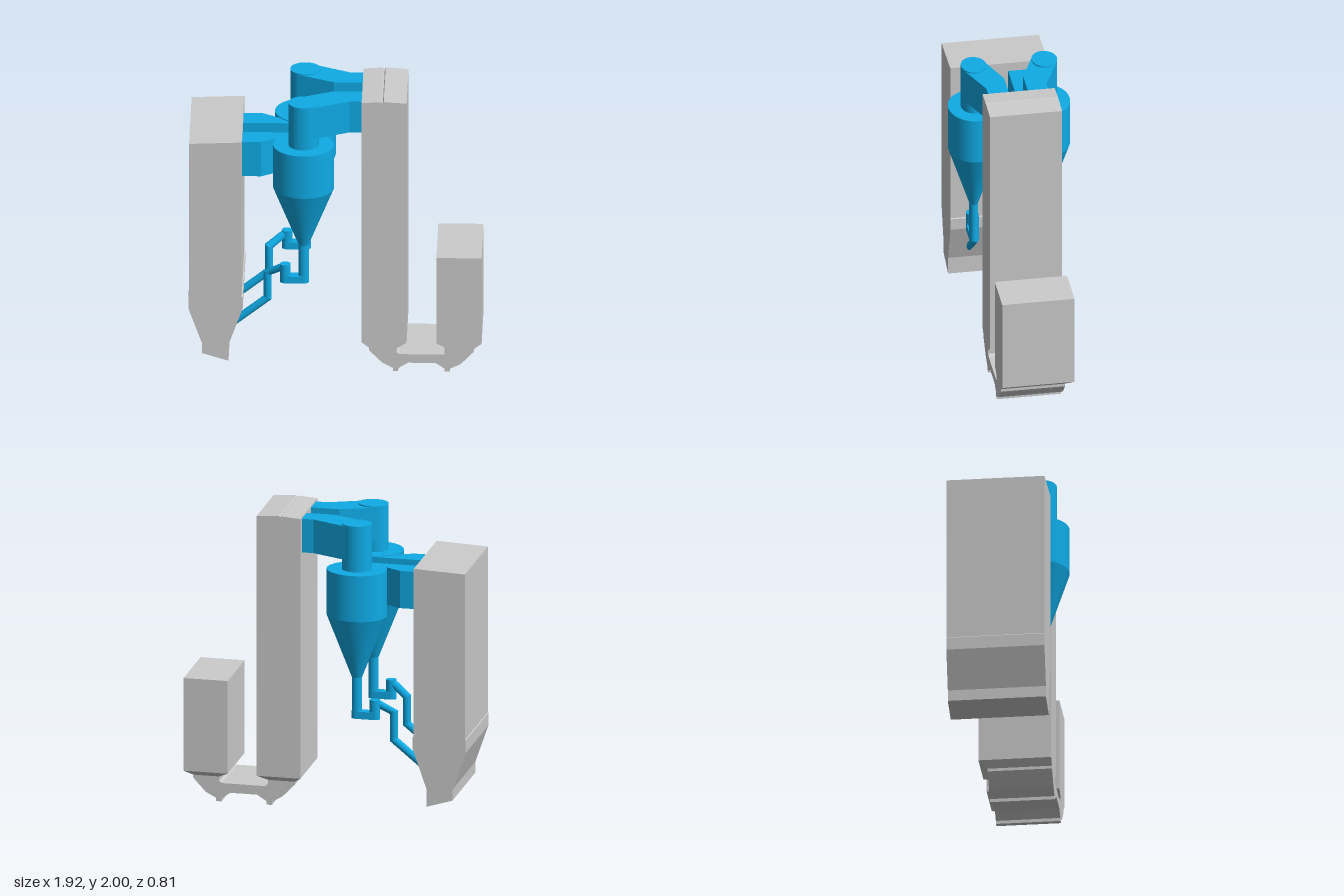
import * as THREE from 'three';
import { mergeGeometries } from 'three/addons/utils/BufferGeometryUtils.js';

const grey = new THREE.MeshStandardMaterial({ color: 0xcccccc });
const blue = new THREE.MeshStandardMaterial({ color: 0x0fabe6 });

function add(parent, name, geometry, material) {
  const mesh = new THREE.Mesh(geometry, material);
  mesh.name = name;
  parent.add(mesh);
  return mesh;
}

const toShape = (pts) => new THREE.Shape(pts.map(([x, y]) => new THREE.Vector2(x, y)));

// Side profile (x, y) extruded between two z positions
function slab(pts, z0, z1) {
  return new THREE.ExtrudeGeometry(toShape(pts), { depth: z1 - z0, bevelEnabled: false }).translate(0, 0, z0);
}

// Plan outline (x, z) extruded between two heights; s mirrors it in z
function plan(pts, y0, y1, s) {
  const shape = toShape(pts.map(([x, z]) => [x, -z * s]));
  return new THREE.ExtrudeGeometry(shape, { depth: y1 - y0, bevelEnabled: false })
    .rotateX(-Math.PI / 2).translate(0, y0, 0);
}

// Box between two corners
function box(x0, x1, y0, y1, z0, z1) {
  return new THREE.BoxGeometry(x1 - x0, y1 - y0, z1 - z0)
    .translate((x0 + x1) / 2, (y0 + y1) / 2, (z0 + z1) / 2);
}

// Rectangular funnel: the lower corners move to a smaller rectangle
function funnel(x0, x1, bx0, bx1) {
  const g = box(x0, x1, 0.17, 0.21, -0.24, 0.24);
  const p = g.attributes.position;
  for (let i = 0; i < p.count; i++) {
    if (p.getY(i) > 0.19) continue;
    p.setX(i, p.getX(i) < (x0 + x1) / 2 ? bx0 : bx1);
    if (p.getZ(i) < 0) p.setZ(i, -0.185);
  }
  g.computeVertexNormals();
  return g;
}

// Pipe with mitred corners along a path that bends in the xy plane
function mitredPipe(path, rx, rz) {
  const sides = 20;
  const dirs = path.slice(1).map((b, i) =>
    new THREE.Vector2(b[0] - path[i][0], b[1] - path[i][1]).normalize());
  const rings = path.map((p, i) => {
    const a = dirs[Math.max(i - 1, 0)];
    const b = dirs[Math.min(i, dirs.length - 1)];
    const d = a.clone().add(b).normalize();
    const r = rx / d.dot(a);
    return Array.from({ length: sides + 1 }, (_, k) => {
      const t = (k / sides) * Math.PI * 2;
      return [p[0] - d.y * r * Math.cos(t), p[1] + d.x * r * Math.cos(t), p[2] + rz * Math.sin(t)];
    });
  });
  const parts = dirs.map((_, i) => {
    const g = new THREE.BufferGeometry();
    const verts = [...rings[i], ...rings[i + 1]].flat();
    g.setAttribute('position', new THREE.Float32BufferAttribute(verts, 3));
    const index = [];
    for (let k = 0; k < sides; k++) {
      const n = k + sides + 1;
      index.push(k, k + 1, n, k + 1, n + 1, n);
    }
    g.setIndex(index);
    g.computeVertexNormals();
    return g;
  });
  return mergeGeometries(parts);
}

// One cyclone with its ducts and return leg; s is +1 at the front, -1 at the back
function cyclone(s) {
  const group = new THREE.Group();
  const cx = -0.21, cz = 0.235, squash = 0.84;
  const tube = (name, x, rTop, rBottom, y0, y1) => add(group, name,
    new THREE.CylinderGeometry(rTop, rBottom, y1 - y0, 48)
      .scale(1, 1, squash).translate(x, (y0 + y1) / 2, cz * s), blue);

  tube('cycloneBarrel', cx, 0.2, 0.2, 1.36, 1.675);
  tube('cycloneCone', cx, 0.2, 0.034, 0.935, 1.36);
  tube('dipLeg', cx, 0.034, 0.034, 0.66, 0.935);
  tube('vortexFinder', cx, 0.1, 0.1, 1.67, 1.988);

  // Inlet from the furnace, narrowing towards the barrel
  add(group, 'inletDuct', plan([
    [-0.615, 0.063], [-0.21, 0.063], [-0.21, 0.14], [-0.38, 0.14], [-0.49, 0.2], [-0.615, 0.2],
  ], 1.415, 1.67, s), blue);

  // Outlet to the back pass, tangent to the vortex finder
  add(group, 'outletDuct', plan([
    [-0.155, 0.304], [0.09, 0.2], [0.17, 0.2], [0.17, 0.063], [-0.02, 0.063], [-0.25, 0.157],
  ], 1.75, 1.98, s), blue);

  // Loop seal: rounded trough, riser and sloping return pipe
  const sealX = -0.33, r = 0.035;
  const seal = [];
  for (let i = 0; i <= 32; i++) {
    const t = Math.PI / 2 + (i / 32) * Math.PI * 2;
    const x = i <= 16 ? sealX : cx;
    seal.push([x + r * Math.cos(t), cz + r * squash * Math.sin(t)]);
  }
  add(group, 'loopSealTrough', plan(seal, 0.655, 0.705, s), blue);
  tube('loopSealRiser', sealX, r, r, 0.66, 0.787);
  add(group, 'returnPipe', mitredPipe([
    [-0.342, 0.765, 0.232 * s], [-0.447, 0.693, 0.183 * s],
    [-0.447, 0.507, 0.183 * s], [-0.7, 0.3, 0.183 * s],
  ], 0.026, 0.022), blue);
  return group;
}

export function createModel() {
  const model = new THREE.Group();
  model.name = 'boiler';

  // Furnace with sloping roof and tapered bottom
  add(model, 'furnace', slab([
    [-0.959, 1.715], [-0.959, 0.58], [-0.963, 0.575], [-0.963, 0.49], [-0.875, 0.235],
    [-0.875, 0.16], [-0.7, 0.105], [-0.7, 0.225], [-0.607, 0.495], [-0.607, 0.575],
    [-0.614, 0.58], [-0.614, 1.73],
  ], -0.325, 0.322), grey);

  // Back pass with a low ridge, and the shorter second pass
  add(model, 'backPass', slab([
    [0.17, 0.21], [0.465, 0.21], [0.465, 1.99], [0.315, 2], [0.31, 1.993], [0.303, 1.993],
    [0.298, 1.999], [0.17, 1.99],
  ], -0.24, 0.24), grey);
  add(model, 'secondPass', box(0.66, 0.957, 0.21, 0.845, -0.24, 0.24), grey);

  // Hoppers and the duct linking them
  add(model, 'backPassFunnel', funnel(0.17, 0.465, 0.22, 0.4), grey);
  add(model, 'secondPassFunnel', funnel(0.66, 0.957, 0.73, 0.905), grey);
  add(model, 'hopperDuct', slab([
    [0.22, 0.17], [0.22, 0.15], [0.305, 0.062], [0.375, 0.022], [0.375, 0], [0.41, 0],
    [0.41, 0.022], [0.475, 0.063], [0.655, 0.063], [0.715, 0.022], [0.715, 0], [0.75, 0],
    [0.75, 0.022], [0.82, 0.058], [0.905, 0.15], [0.905, 0.17], [0.73, 0.17], [0.73, 0.14],
    [0.712, 0.126], [0.418, 0.126], [0.4, 0.14], [0.4, 0.17],
  ], -0.185, 0.24), grey);

  // Mirrored pair of cyclones
  for (const s of [1, -1]) {
    const side = cyclone(s);
    side.name = s > 0 ? 'frontCyclone' : 'backCyclone';
    model.add(side);
  }
  return model;
}
